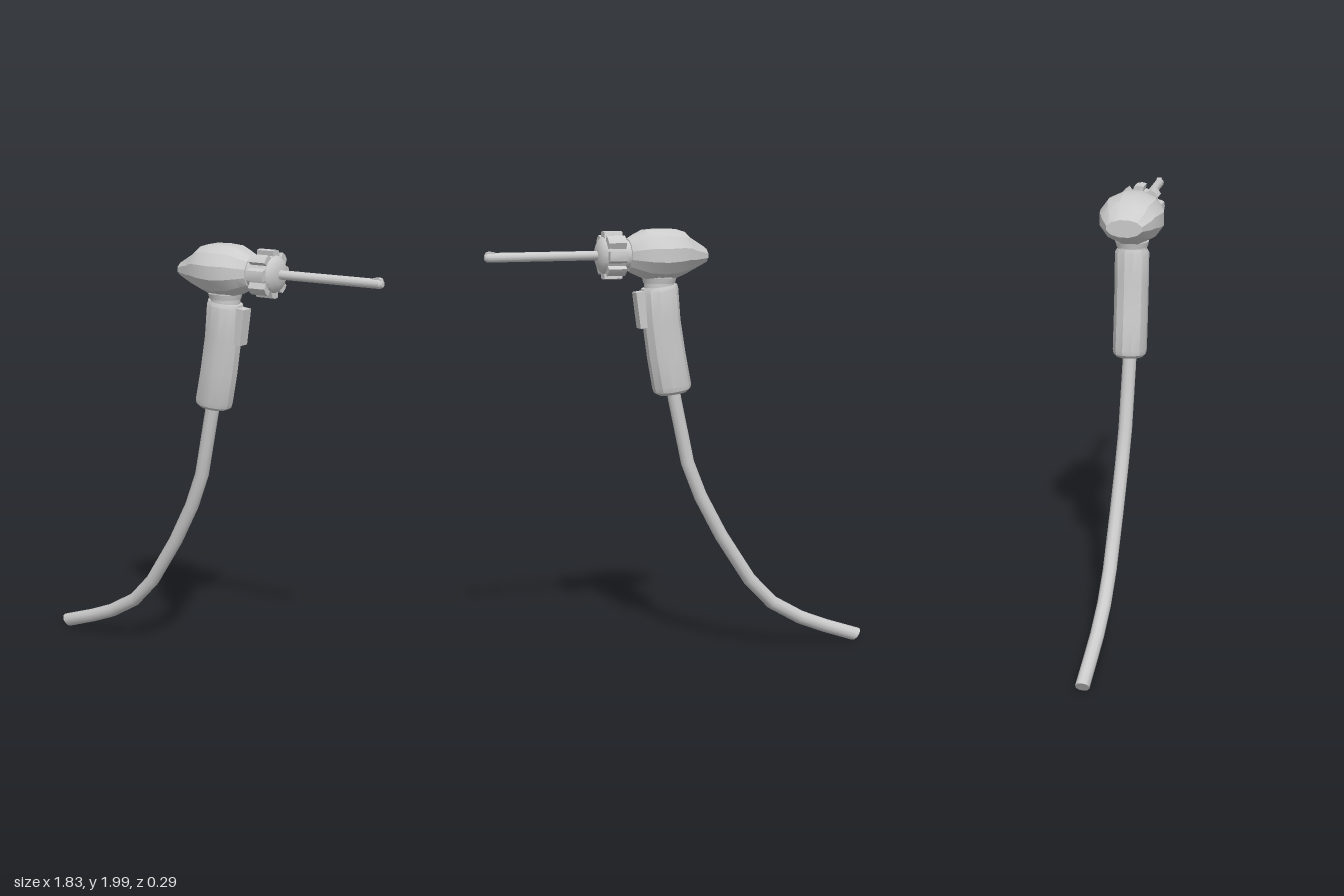
import * as THREE from 'three';
import { toCreasedNormals } from 'three/addons/utils/BufferGeometryUtils.js';

const grey = new THREE.MeshStandardMaterial({ color: 0xcccccc });
const AXIS_Y = 1.885;

function part(group, name, geometry, crease = 0.6) {
  const mesh = new THREE.Mesh(toCreasedNormals(geometry, crease), grey);
  mesh.name = name;
  group.add(mesh);
  return mesh;
}

// Capped sweep of elliptical sections: [x, y, z, radius in the xy plane, radius in z, optional heading]
function sweep(sections, sides, offset = 0) {
  const pos = [], index = [], n = sections.length;
  sections.forEach(([x, y, z, rn, rz, heading], i) => {
    const a = sections[Math.max(i - 1, 0)], b = sections[Math.min(i + 1, n - 1)];
    const h = heading ?? Math.atan2(b[1] - a[1], b[0] - a[0]);
    for (let j = 0; j < sides; j++) {
      const t = offset + (j / sides) * Math.PI * 2;
      const u = Math.cos(t) * rn;
      pos.push(x - Math.sin(h) * u, y + Math.cos(h) * u, z + Math.sin(t) * rz);
    }
  });
  const first = pos.length / 3;
  for (const s of [sections[0], sections[n - 1]]) pos.push(s[0], s[1], s[2]);
  for (let j = 0; j < sides; j++) {
    const k = (j + 1) % sides, end = (n - 1) * sides;
    for (let i = 0; i < n - 1; i++) {
      const p = i * sides, q = p + sides;
      index.push(p + j, p + k, q + k, p + j, q + k, q + j);
    }
    index.push(first, k, j, first + 1, end + j, end + k);
  }
  const g = new THREE.BufferGeometry();
  g.setAttribute('position', new THREE.Float32BufferAttribute(pos, 3));
  g.setIndex(index);
  return g;
}

// Lathe around the x axis from [x, radius] pairs, ordered by rising x
function turned(profile, sides) {
  const g = new THREE.LatheGeometry(profile.map(([x, r]) => new THREE.Vector2(r, x)), sides);
  return g.rotateZ(-Math.PI / 2).translate(0, AXIS_Y, 0);
}

export function createModel() {
  const group = new THREE.Group();

  // Faceted motor housing: [x, bottom, top, half width]
  const housing = [
    [-0.11, 1.84, 1.918, 0.08],
    [-0.04, 1.807, 1.96, 0.112],
    [-0.015, 1.795, 1.985, 0.122],
    [0.03, 1.778, 1.998, 0.136],
    [0.1, 1.77, 2.0, 0.145],
    [0.17, 1.778, 1.995, 0.133],
    [0.22, 1.8, 1.972, 0.103],
    [0.25, 1.815, 1.955, 0.075],
  ];
  const flat = 1 / Math.cos(Math.PI / 12);
  part(group, 'housing', sweep(housing.map(([x, lo, hi, w]) =>
    [x, (lo + hi) / 2, 0, (hi - lo) / 2 * flat, w * flat, 0]), 12, Math.PI / 12), 0.4);
  part(group, 'noseCollar', turned([[0.24, 0], [0.24, 0.068], [0.285, 0.066], [0.285, 0]], 16));

  // Toothed chuck ring
  const teeth = 8, ring = new THREE.Shape();
  for (let i = 0; i < teeth; i++) {
    [[-0.27, 0.106], [0, 0.108], [0.27, 0.106], [0.29, 0.083], [0.5, 0.083]].forEach(([f, r], k) => {
      const a = Math.PI / 2 + ((i + f) / teeth) * Math.PI * 2;
      ring[i + k ? 'lineTo' : 'moveTo'](Math.cos(a) * r, Math.sin(a) * r);
    });
  }
  part(group, 'chuckRing', new THREE.ExtrudeGeometry(ring, { depth: 0.085, bevelEnabled: false })
    .rotateY(Math.PI / 2).translate(0.28, AXIS_Y, 0));
  part(group, 'chuckDome', turned([[0.35, 0.085], [0.365, 0.083], [0.38, 0.07], [0.392, 0.045], [0.395, 0]], 16));

  // Long thin bit with a small hook at its tip
  part(group, 'bit', turned([[0.38, 0.021], [0.895, 0.021], [0.906, 0.014], [0.91, 0]], 12));
  const hook = new THREE.Shape([
    [0.855, 1.885], [0.86, 1.908], [0.885, 1.912], [0.9, 1.907], [0.907, 1.885],
  ].map(([x, y]) => new THREE.Vector2(x, y)));
  part(group, 'bitHook', new THREE.ExtrudeGeometry(hook, { depth: 0.022, bevelEnabled: false })
    .translate(0, 0, -0.011));

  // Neck between housing and grip
  part(group, 'neck', new THREE.CylinderGeometry(0.078, 0.072, 0.025, 16).translate(0.097, 1.768, 0));
  part(group, 'neckCore', new THREE.CylinderGeometry(0.068, 0.068, 0.07, 16).translate(0.097, 1.75, 0));

  // Slightly bowed grip
  part(group, 'grip', sweep([
    [0.098, 1.742, 0, 0.084, 0.07],
    [0.097, 1.725, 0, 0.088, 0.078],
    [0.086, 1.58, 0, 0.088, 0.078],
    [0.064, 1.43, 0, 0.09, 0.078],
    [0.037, 1.285, 0, 0.091, 0.078],
    [0.034, 1.265, 0, 0.086, 0.074],
    [0.032, 1.252, 0, 0.068, 0.06],
  ].map((s) => [...s, -1.7]), 12, Math.PI / 12), 0.5);

  // Trigger
  const trigger = part(group, 'trigger', new THREE.BoxGeometry(0.05, 0.165, 0.058));
  trigger.position.set(0.182, 1.638, 0);
  trigger.rotation.z = -0.13;

  // Trailing cable with an angled cut end
  part(group, 'cable', sweep([
    [0.035, 1.29, 0], [0.022, 1.22, 0], [-0.038, 0.925, -0.008], [-0.1, 0.765, -0.014],
    [-0.2, 0.575, -0.02], [-0.345, 0.35, -0.026], [-0.46, 0.23, -0.031],
    [-0.605, 0.145, -0.036], [-0.73, 0.094, -0.041],
    [-0.897, 0.036, -0.046, 0.034, 0.032, -2.52],
  ].map(([x, y, z, a = 0.032, b = 0.032, h]) => [x, y, z, a, b, h]), 10), 0.8);

  // Rest the lowest point on the ground
  const low = new THREE.Box3().setFromObject(group).min.y;
  group.children.forEach((m) => { m.position.y -= low; });
  return group;
}
